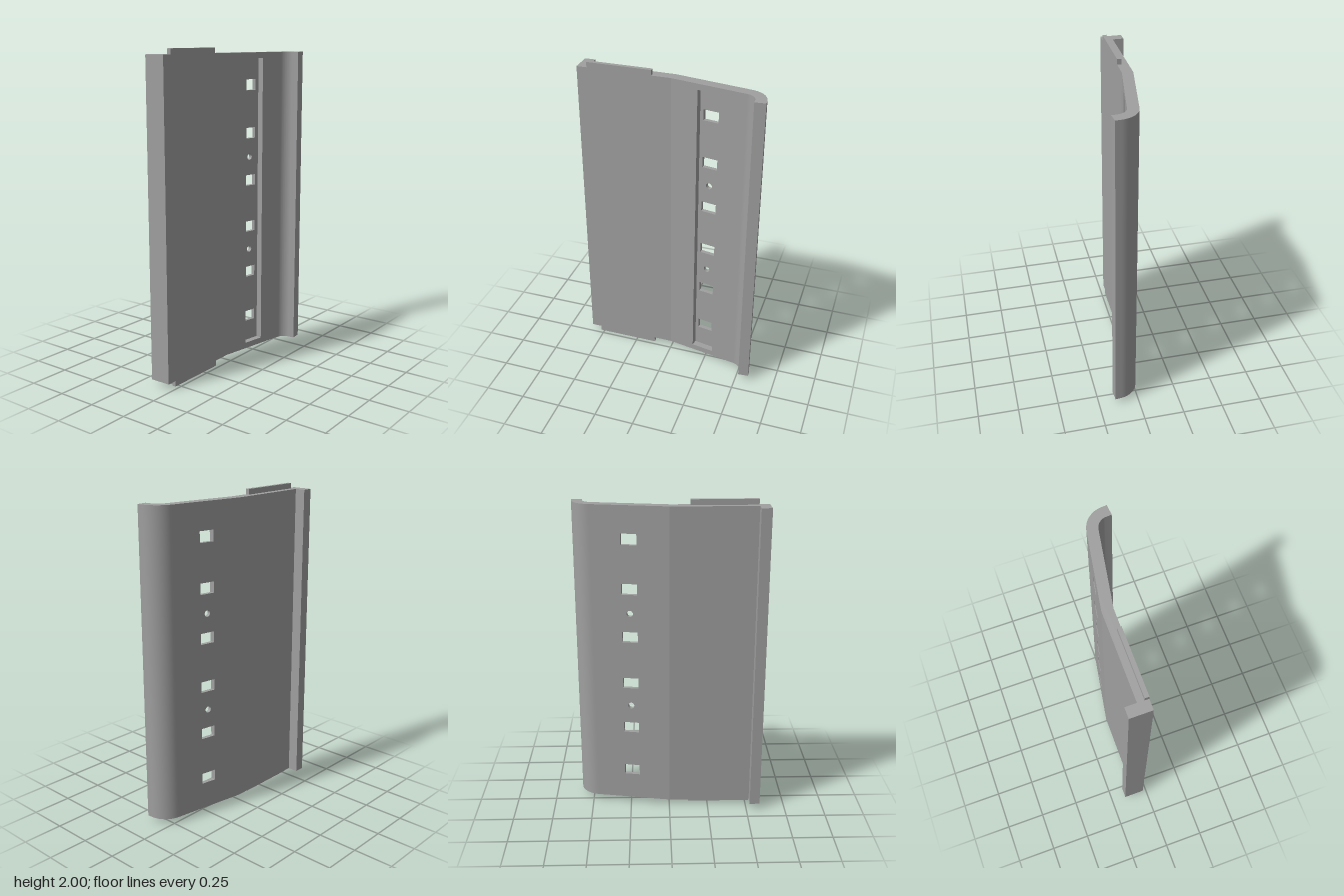
import * as THREE from 'three';
import { toCreasedNormals } from 'three/addons/utils/BufferGeometryUtils.js';

const Y0 = 0.035, Y1 = 1.967;          // height range of the plate
const T = 0.065, FLOOR = 0.025;        // sheet thickness, thickness under the recess
const BACK = -0.0905;                  // z of the flat back face
const TILT = THREE.MathUtils.degToRad(10);
const U0 = 0.1, U1 = 0.42;             // extent of the recessed section along the slope

// point on the tilted section: u along the slope, n outward from its back face
const onSlope = (u, n) => [
  u * Math.cos(TILT) - n * Math.sin(TILT),
  BACK + u * Math.sin(TILT) + n * Math.cos(TILT),
];

// extrudes an (x, z) outline upward over the plate height
function extrudeProfile(points) {
  const shape = new THREE.Shape(points.map(([x, z]) => new THREE.Vector2(x, -z)));
  const geo = new THREE.ExtrudeGeometry(shape, { depth: Y1 - Y0, bevelEnabled: false });
  geo.rotateX(-Math.PI / 2).translate(0, Y0, 0);
  return toCreasedNormals(geo, 0.15);
}

function rect(Type, x0, y0, x1, y1) {
  const p = new Type();
  p.moveTo(x0, y0).lineTo(x1, y0).lineTo(x1, y1).lineTo(x0, y1).closePath();
  return p;
}

export function createModel() {
  const model = new THREE.Group();
  model.name = 'slottedPanel';
  const grey = new THREE.MeshStandardMaterial({ color: 0xa0a0a0 });
  grey.name = 'grey';
  const add = (parent, name, geo) => {
    const mesh = new THREE.Mesh(geo, grey);
    mesh.name = name;
    parent.add(mesh);
    return mesh;
  };

  // flat section with the rear lip and the start of the bend
  const bendX = T * Math.tan(TILT / 2);
  add(model, 'flatSection', extrudeProfile([
    [-0.587, -0.157], [-0.523, -0.157], [-0.523, BACK], [0, BACK],
    onSlope(U0, 0), onSlope(U0, T), [-bendX, BACK + T], [-0.587, BACK + T],
  ]));

  // curled edge: two concentric arcs and a short straight end
  const outer = [], inner = [];
  const start = TILT, end = THREE.MathUtils.degToRad(85), steps = 14;
  const centre = onSlope(0.477, 0.134), R = 0.134;
  for (let i = 0; i <= steps; i++) {
    const a = start + (end - start) * i / steps;
    for (const [list, r] of [[outer, R], [inner, R - T]])
      list.push([centre[0] + r * Math.sin(a), centre[1] - r * Math.cos(a)]);
  }
  for (const list of [outer, inner]) {
    const [x, z] = list[steps];
    list.push([x + 0.035 * Math.cos(end), z + 0.035 * Math.sin(end)]);
  }
  add(model, 'curledEdge', extrudeProfile([
    onSlope(U1, 0), ...outer, ...inner.reverse(), onSlope(U1, T),
  ]));

  // tilted section: pierced floor at the back, recess frame in front
  const tilted = new THREE.Group();
  tilted.name = 'tiltedSection';
  tilted.position.z = BACK;
  tilted.rotation.y = -TILT;
  model.add(tilted);

  const floor = rect(THREE.Shape, U0, Y0, U1, Y1);
  for (let i = 0; i < 6; i++) {
    const y = 0.241 + i * 0.305;
    floor.holes.push(rect(THREE.Path, 0.195, y - 0.034, 0.292, y + 0.034));
  }
  for (const y of [0.698, 1.308])
    floor.holes.push(new THREE.Path().absarc(0.243, y, 0.02, 0, Math.PI * 2, true));
  add(tilted, 'recessFloor', new THREE.ExtrudeGeometry(floor,
    { depth: FLOOR, bevelEnabled: false, curveSegments: 12 }));

  const frame = rect(THREE.Shape, U0, Y0, U1, Y1);
  frame.holes.push(rect(THREE.Path, 0.174, 0.073, 0.318, 1.93));
  add(tilted, 'recessFrame', new THREE.ExtrudeGeometry(frame,
    { depth: T - FLOOR, bevelEnabled: false })).position.z = FLOOR;

  // locating tabs above and below, flush with the front
  for (const [name, y0, y1] of [['bottomTab', 0, Y0], ['topTab', Y1, 2]]) {
    const tab = add(model, name, new THREE.BoxGeometry(0.4, y1 - y0, 0.025));
    tab.position.set(-0.324, (y0 + y1) / 2, BACK + T - 0.0125);
  }
  return model;
}
